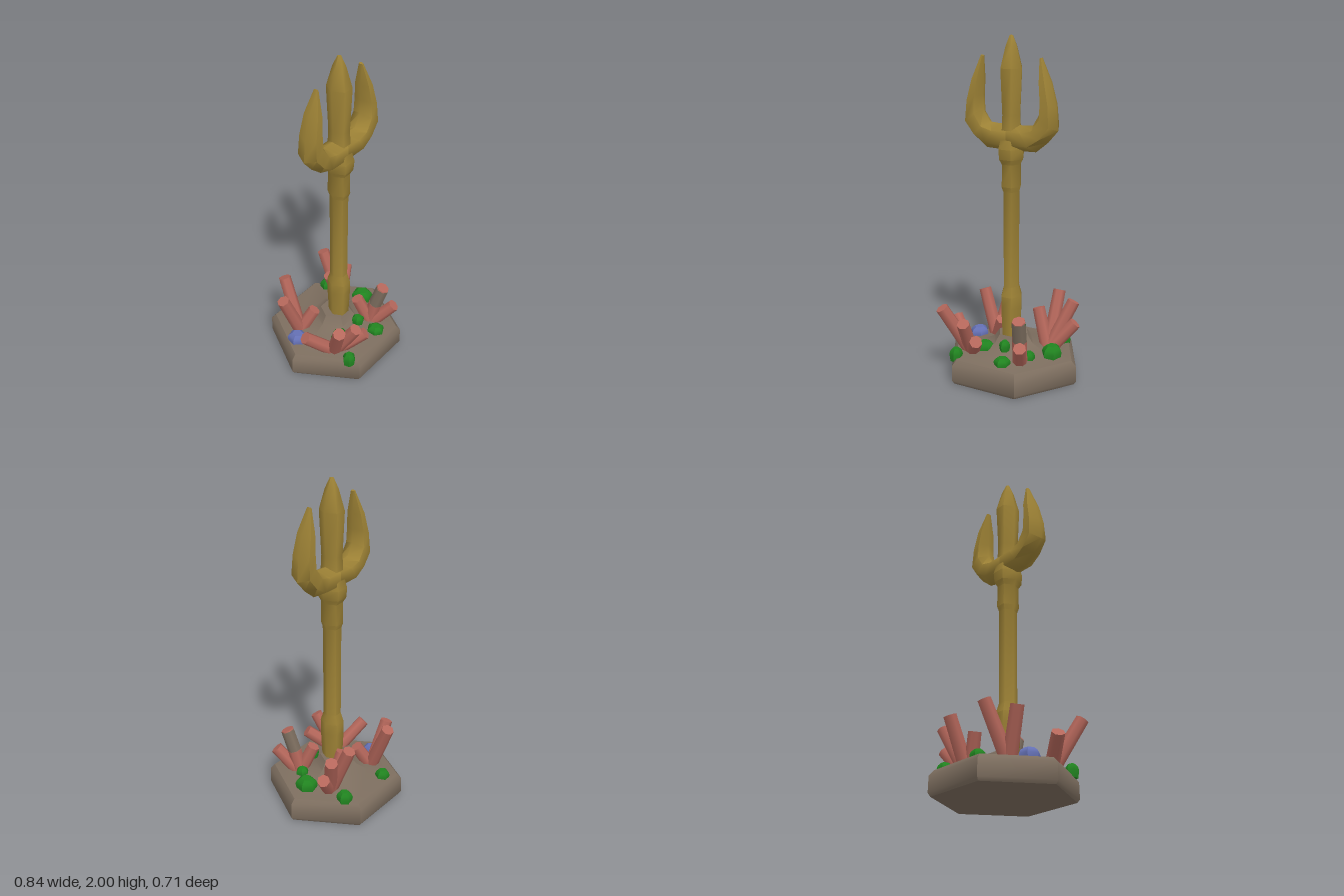
import * as THREE from 'three';
import { toCreasedNormals } from 'three/addons/utils/BufferGeometryUtils.js';

const paint = (name, color) => {
  const m = new THREE.MeshStandardMaterial({ color });
  m.name = name;
  return m;
};

// Skin a list of equal-sized rings and close both ends with fans.
function loft(rings, crease) {
  const n = rings[0].length;
  const pos = [], idx = [];
  rings.forEach(r => r.forEach(p => pos.push(p.x, p.y, p.z)));
  for (let k = 0; k < rings.length - 1; k++) {
    for (let i = 0; i < n; i++) {
      const j = (i + 1) % n, a = k * n, b = a + n;
      idx.push(a + i, a + j, b + j, a + i, b + j, b + i);
    }
  }
  const top = (rings.length - 1) * n;
  for (let i = 1; i < n - 1; i++) {
    idx.push(0, i + 1, i, top, top + i, top + i + 1);
  }
  const g = new THREE.BufferGeometry();
  g.setAttribute('position', new THREE.Float32BufferAttribute(pos, 3));
  g.setIndex(idx);
  return toCreasedNormals(g, crease);
}

// Horizontal hexagon with corners on the x axis.
const hexRing = (rx, rz, y, cx = 0, cz = 0) => Array.from({ length: 6 }, (_, i) => {
  const a = i * Math.PI / 3;
  return new THREE.Vector3(cx + rx * Math.cos(a), y, cz - rz * Math.sin(a));
});

export function createModel() {
  const model = new THREE.Group();
  const stone = paint('stone brown', 0x7d6e5f);
  const gold = paint('old gold', 0x9c8135);
  const coral = paint('coral pink', 0xb5675b);
  const green = paint('plant green', 0x218420);
  const blue = paint('shell blue', 0x6470b4);

  const add = (name, geometry, material, parent = model) => {
    const mesh = new THREE.Mesh(geometry, material);
    mesh.name = name;
    parent.add(mesh);
    return mesh;
  };

  // Hexagonal stone base with a low mound
  const baseProfile = [[0.405, 0], [0.42, 0.02], [0.418, 0.115], [0.39, 0.145],
    [0.2, 0.165], [0.13, 0.2], [0.095, 0.25]];
  add('base', loft(baseProfile.map(([r, y]) => hexRing(r, r * 0.975, y)), 0.7), stone);

  // Trident: shaft with collars and central prong
  const trident = new THREE.Group();
  trident.name = 'trident';
  trident.position.z = 0.025;
  model.add(trident);
  const shaft = [[0.055, 0.2], [0.065, 0.42], [0.065, 0.49], [0.048, 0.55], [0.05, 1.12],
    [0.06, 1.15], [0.058, 1.28], [0.075, 1.31], [0.08, 1.37], [0.06, 1.45],
    [0.055, 1.56], [0.066, 1.82], [0.035, 1.94], [0.01, 2]];
  add('shaft', loft(shaft.map(([r, y]) => hexRing(r, r * 1.12, y)), 1.1), gold, trident);

  // Curved side prongs: outer x, y, inner x, y, half depth
  const prong = [[0, 1.355, 0, 1.51, 0.075], [0.16, 1.36, 0.07, 1.505, 0.077],
    [0.235, 1.42, 0.14, 1.51, 0.077], [0.297, 1.49, 0.183, 1.58, 0.075],
    [0.285, 1.62, 0.187, 1.66, 0.068], [0.25, 1.75, 0.182, 1.75, 0.055],
    [0.195, 1.885, 0.18, 1.88, 0.014]];
  for (const s of [1, -1]) {
    const rings = prong.map(([ox, oy, ix, iy, d]) => Array.from({ length: 6 }, (_, i) => {
      const a = i * Math.PI / 3, t = (1 + Math.cos(a)) / 2;
      return new THREE.Vector3(s * (ix + (ox - ix) * t), iy + (oy - iy) * t, -s * d * Math.sin(a));
    }));
    add(s > 0 ? 'leftProng' : 'rightProng', loft(rings, 1.1), gold, trident);
  }

  // Coral branch between two points
  function branch(parent, from, to, r0, r1, material, name = 'coralBranch') {
    const a = new THREE.Vector3(...from), b = new THREE.Vector3(...to);
    const dir = b.clone().sub(a);
    const g = new THREE.CylinderGeometry(r1, r0, dir.length(), 7);
    const mesh = add(name, g, material, parent);
    mesh.position.copy(a).add(b).multiplyScalar(0.5);
    mesh.quaternion.setFromUnitVectors(new THREE.Vector3(0, 1, 0), dir.normalize());
  }

  // Coral clusters: a root and its branch tips
  const clusters = [
    { root: [-0.19, 0.13, -0.13], tips: [[-0.16, 0.46, -0.275], [-0.3, 0.42, -0.165], [-0.12, 0.28, -0.07]] },
    { root: [0.18, 0.13, -0.1], tips: [[0.18, 0.47, -0.245], [0.295, 0.43, -0.205], [0.325, 0.31, -0.17], [0.1, 0.38, -0.13]] },
    { root: [-0.2, 0.13, 0.15], tips: [[-0.32, 0.43, 0.285], [-0.17, 0.36, 0.29], [-0.08, 0.27, 0.295], [-0.365, 0.3, 0.06]] },
    { root: [0.14, 0.13, 0.17], tips: [[0.21, 0.29, 0.295], [0.09, 0.32, 0.1]] },
  ];
  clusters.forEach(({ root, tips }) => {
    const group = new THREE.Group();
    group.name = 'coralCluster';
    model.add(group);
    tips.forEach(t => branch(group, root, t, 0.042, 0.038, coral));
  });
  // Two-tone branch
  branch(model, [0.14, 0.13, 0.16], [0.155, 0.29, 0.195], 0.042, 0.042, coral);
  branch(model, [0.155, 0.29, 0.195], [0.17, 0.42, 0.235], 0.042, 0.041, stone, 'stoneBranch');
  branch(model, [0.17, 0.42, 0.235], [0.171, 0.427, 0.238], 0.041, 0.039, coral, 'branchTip');

  // Faceted lumps on the base: centre x, y, z and radii
  const lump = (name, [x, y, z, rx, ry, rz], material, turn) => {
    const rings = [[0.85, -1], [1, 0.1], [0.85, 0.6], [0.5, 1]]
      .map(([r, h]) => hexRing(r, r, h));
    const mesh = add(name, loft(rings, 0.5), material);
    mesh.position.set(x, y, z);
    mesh.scale.set(rx, ry, rz);
    mesh.rotation.y = turn;
  };
  [[-0.115, 0.16, -0.275, 0.045, 0.035, 0.045],
    [0.215, 0.165, -0.24, 0.045, 0.04, 0.05],
    [0.265, 0.175, 0.01, 0.06, 0.045, 0.07],
    [-0.12, 0.17, 0.13, 0.06, 0.04, 0.055],
    [0.03, 0.22, 0.155, 0.033, 0.03, 0.04],
    [0.075, 0.165, 0.26, 0.05, 0.03, 0.055],
    [0.175, 0.165, 0.12, 0.035, 0.035, 0.04],
    [-0.225, 0.16, 0.285, 0.04, 0.04, 0.04],
  ].forEach((p, i) => lump('plant', p, green, i * 0.1));
  lump('shell', [-0.285, 0.165, -0.07, 0.057, 0.038, 0.065], blue, 0.2);

  return model;
}
